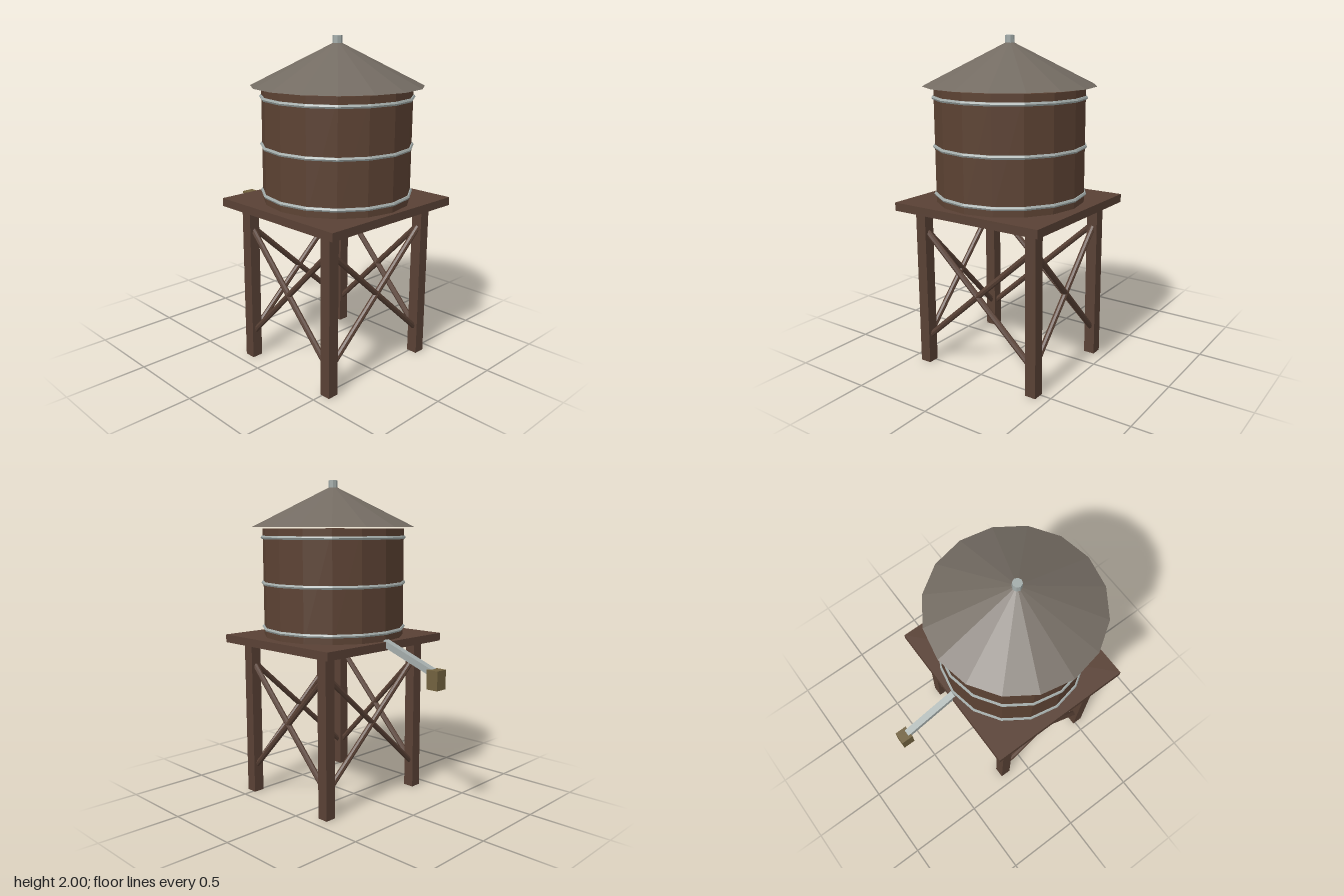
import * as THREE from 'three';

const material = (name, color) => {
  const m = new THREE.MeshStandardMaterial({ color, flatShading: true });
  m.name = name;
  return m;
};

export function createModel() {
  const tankWood = material('tank wood', 0x5c4233);
  const frameWood = material('frame wood', 0x594135);
  const roofGrey = material('roof grey', 0x736b62);
  const metal = material('pale metal', 0xa3acaa);
  const olive = material('olive brown', 0x72623f);

  const model = new THREE.Group();
  model.name = 'waterTower';
  const tower = new THREE.Group();
  tower.name = 'tower';
  tower.position.z = 0.18;
  model.add(tower);

  const add = (name, geometry, mat, x = 0, y = 0, z = 0, parent = tower) => {
    const mesh = new THREE.Mesh(geometry, mat);
    mesh.name = name;
    mesh.position.set(x, y, z);
    parent.add(mesh);
    return mesh;
  };

  // Stretch a part modelled along y between two points
  const span = (name, a, b, makeGeometry, mat, parent) => {
    const dir = b.clone().sub(a);
    const mid = a.clone().add(b).multiplyScalar(0.5);
    const mesh = add(name, makeGeometry(dir.length()), mat, mid.x, mid.y, mid.z, parent);
    mesh.quaternion.setFromUnitVectors(new THREE.Vector3(0, 1, 0), dir.normalize());
  };

  // Legs and platform
  const legX = 0.395, legZ = 0.34;
  for (const sx of [-1, 1]) for (const sz of [-1, 1]) {
    add('leg', new THREE.BoxGeometry(0.07, 0.99, 0.07), frameWood, sx * legX, 0.495, sz * legZ);
  }
  add('platform', new THREE.BoxGeometry(1.01, 0.05, 0.94), frameWood, 0, 1.01, 0);

  // Crossed braces on all four sides
  const low = 0.155, high = 0.865;
  const rod = (length) => new THREE.CylinderGeometry(0.018, 0.018, length, 8);
  for (const side of [-1, 1]) for (const s of [-1, 1]) {
    span('brace', new THREE.Vector3(-s * legX, low, side * legZ),
      new THREE.Vector3(s * legX, high, side * legZ), rod, frameWood, tower);
    span('brace', new THREE.Vector3(side * legX, low, -s * legZ),
      new THREE.Vector3(side * legX, high, s * legZ), rod, frameWood, tower);
  }

  // Tank with three hoops
  add('tank', new THREE.CylinderGeometry(0.445, 0.445, 0.67, 16), tankWood, 0, 1.37, 0);
  for (const y of [1.085, 1.368, 1.651]) {
    const hoop = add('hoop', new THREE.TorusGeometry(0.446, 0.012, 6, 16), metal, 0, y, 0);
    hoop.rotation.x = Math.PI / 2;
  }

  // Conical roof and vent
  add('roof', new THREE.ConeGeometry(0.51, 0.255, 16), roofGrey, 0, 1.8425, 0);
  add('vent', new THREE.CylinderGeometry(0.028, 0.028, 0.06, 8), metal, 0, 1.97, 0);

  // Sloping spout with its end block at the back
  span('spout', new THREE.Vector3(0, 1.028, -0.265), new THREE.Vector3(0, 0.888, -0.655),
    (length) => new THREE.BoxGeometry(0.042, length, 0.04), metal, model);
  add('spoutEnd', new THREE.BoxGeometry(0.078, 0.114, 0.076), olive, 0, 0.86, -0.652, model);

  return model;
}
